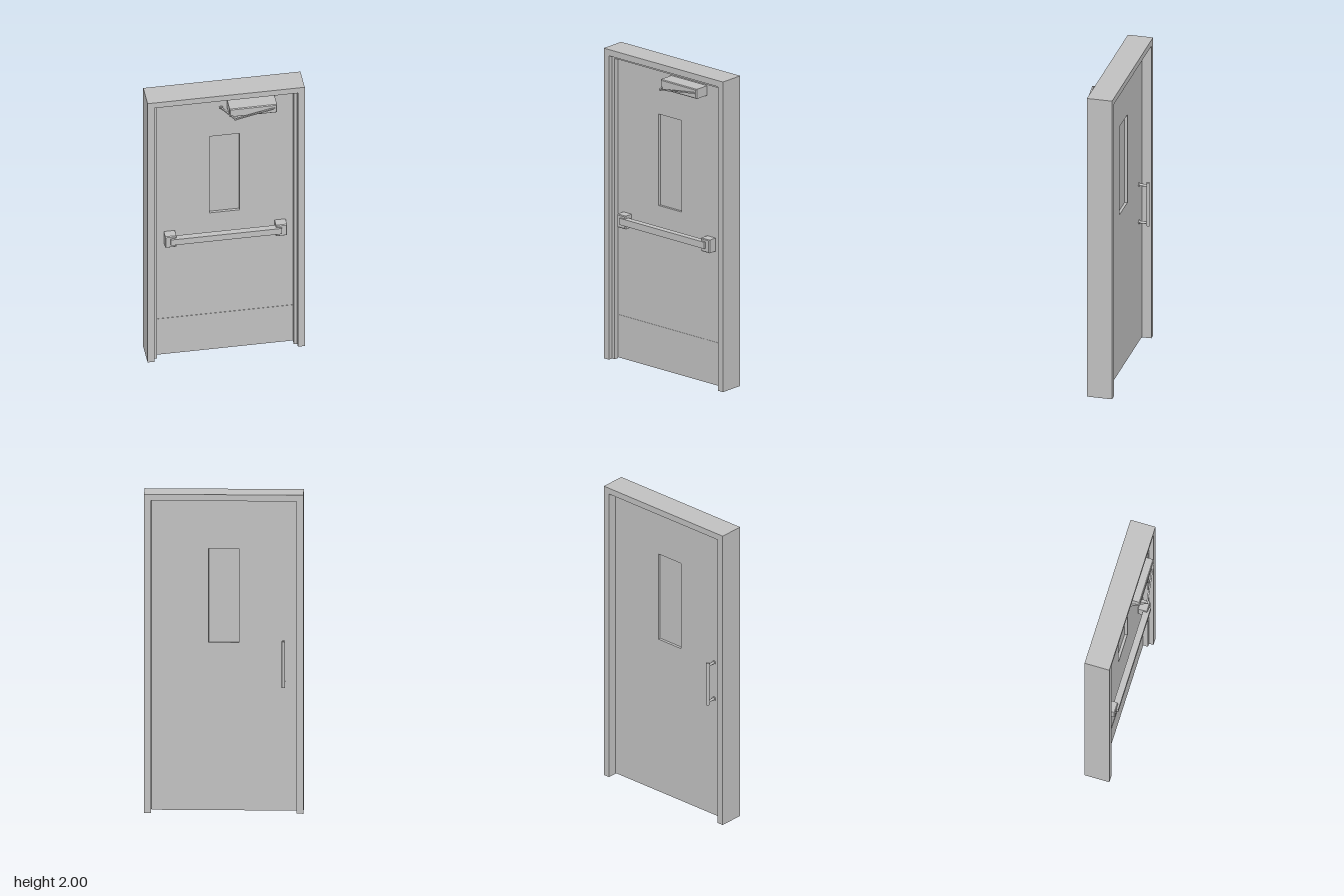
import * as THREE from 'three';

const grey = new THREE.MeshStandardMaterial({ color: 0xc0c0c0 });
grey.name = 'plain grey';

export function createModel() {
  const model = new THREE.Group();
  model.name = 'fireDoor';

  const add = (name, geometry, x = 0, y = 0, z = 0, parent = model) => {
    const mesh = new THREE.Mesh(geometry, grey);
    mesh.name = name;
    mesh.position.set(x, y, z);
    parent.add(mesh);
    return mesh;
  };

  // Box given by its limits on each axis
  const block = (name, x0, x1, y0, y1, z0, z1) =>
    add(name, new THREE.BoxGeometry(x1 - x0, y1 - y0, z1 - z0),
      (x0 + x1) / 2, (y0 + y1) / 2, (z0 + z1) / 2);

  const rect = (T, x0, x1, y0, y1) => new T([
    new THREE.Vector2(x0, y0), new THREE.Vector2(x1, y0),
    new THREE.Vector2(x1, y1), new THREE.Vector2(x0, y1),
  ]);

  // Box whose front edges are chamfered by b
  const chamferBlock = (name, x0, x1, y0, y1, z0, z1, b) => {
    const g = new THREE.ExtrudeGeometry(rect(THREE.Shape, x0 + b, x1 - b, y0 + b, y1 - b), {
      depth: z1 - z0 - 2 * b, bevelSize: b, bevelThickness: b, bevelSegments: 1,
    });
    return add(name, g, 0, 0, z0 + b);
  };

  // Upside-down U: two jambs and a head
  const portal = (name, outX, outY, inX, inY, z0, z1) => {
    const shape = new THREE.Shape([
      [-outX, 0], [-inX, 0], [-inX, inY], [inX, inY],
      [inX, 0], [outX, 0], [outX, outY], [-outX, outY],
    ].map(([x, y]) => new THREE.Vector2(x, y)));
    add(name, new THREE.ExtrudeGeometry(shape, { depth: z1 - z0, bevelEnabled: false }), 0, 0, z0);
  };

  // Frame and the stop the leaf closes against
  portal('doorFrame', 0.487, 2, 0.445, 1.96, -0.118, 0.041);
  portal('doorStop', 0.445, 1.96, 0.424, 1.94, -0.02, 0.012);

  // Leaf with a window opening
  const front = -0.02, back = -0.06;
  const leaf = rect(THREE.Shape, -0.443, 0.443, 0.006, 1.957);
  leaf.holes.push(rect(THREE.Path, -0.093, 0.093, 1.058, 1.648));
  add('doorLeaf', new THREE.ExtrudeGeometry(leaf, { depth: front - back, bevelEnabled: false }), 0, 0, back);
  block('windowPane', -0.093, 0.093, 1.058, 1.648, -0.043, -0.037);
  block('kickPlate', -0.422, 0.422, 0.006, 0.282, front, front + 0.002);

  // Push bar with its two end housings
  for (const s of [-1, 1]) {
    chamferBlock(s < 0 ? 'rightBarHousing' : 'leftBarHousing',
      s * 0.343 - 0.034, s * 0.343 + 0.034, 0.87, 0.955, front, 0.043, 0.005);
  }
  block('pushBar', -0.345, 0.345, 0.895, 0.938, 0.015, 0.055);

  // Overhead closer body
  chamferBlock('closerBody', 0.015, 0.308, 1.86, 1.922, front, 0.084, 0.005);

  // Closer arms: flat links between two points
  const link = (name, a, b, w, h) => {
    const p = new THREE.Vector3(...a), q = new THREE.Vector3(...b);
    const m = add(name, new THREE.BoxGeometry(w, h, p.distanceTo(q)));
    m.position.copy(p).lerp(q, 0.5);
    m.lookAt(q);
  };
  const elbow = [0.045, 1.872, 0.121];
  link('closerMainArm', [0.295, 1.897, 0.085], elbow, 0.01, 0.008);
  link('closerForearm', elbow, [-0.025, 1.866, front], 0.01, 0.008);
  add('closerElbow', new THREE.CylinderGeometry(0.007, 0.007, 0.012, 12), ...elbow);
  block('closerArmFoot', -0.034, -0.012, 1.859, 1.874, front, front + 0.008);

  // Pull handle on the back: round bar on two standoffs
  const hx = -0.365, hz = -0.119;
  add('pullHandleBar', new THREE.CylinderGeometry(0.01, 0.01, 0.29, 16), hx, 0.935, hz);
  for (const y of [0.81, 1.06]) {
    const post = add('pullHandlePost', new THREE.CylinderGeometry(0.008, 0.008, back - hz, 12), hx, y, (back + hz) / 2);
    post.rotation.x = Math.PI / 2;
    const flange = add('pullHandleFlange', new THREE.CylinderGeometry(0.013, 0.013, 0.006, 16), hx, y, back - 0.003);
    flange.rotation.x = Math.PI / 2;
  }

  return model;
}
